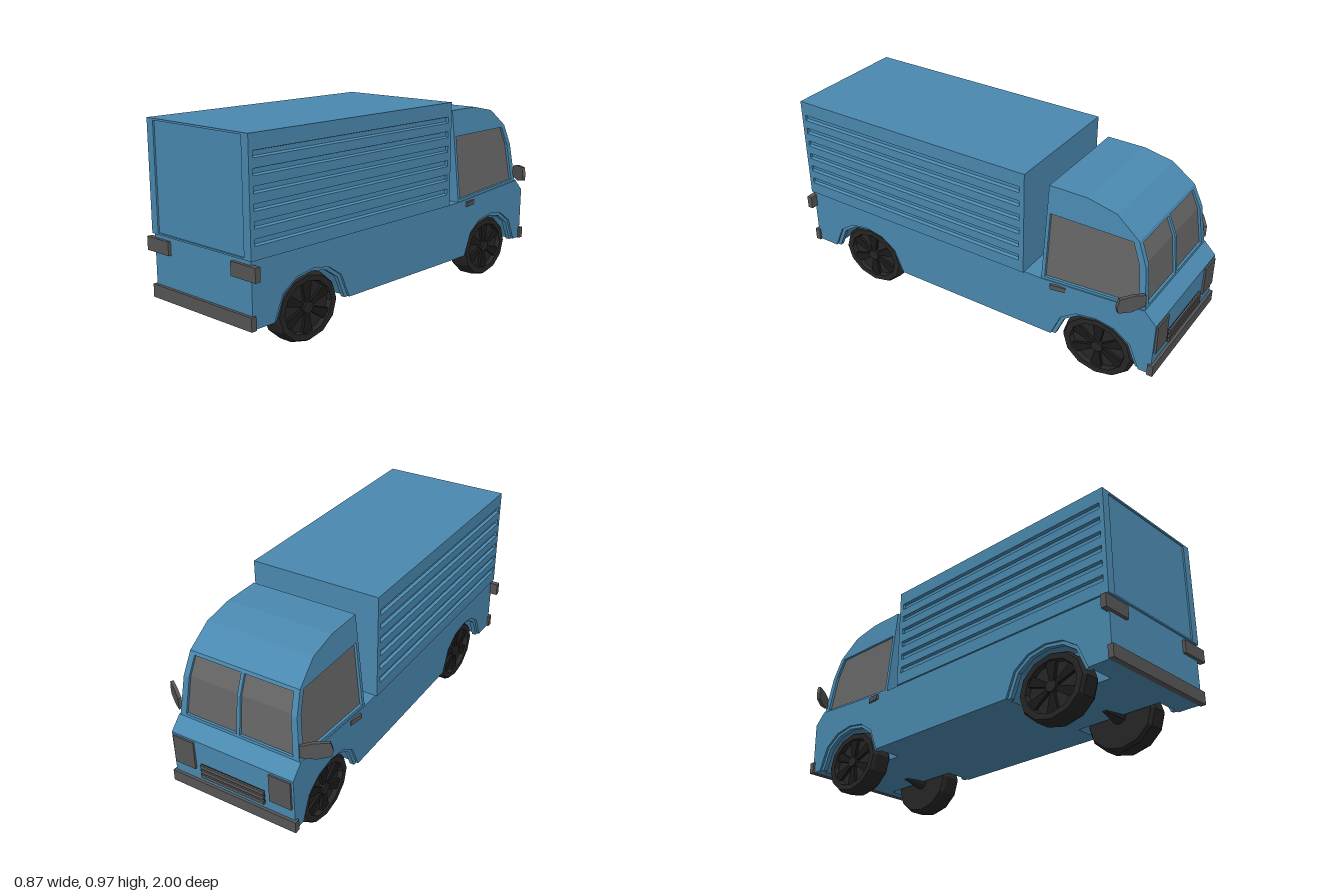
import * as THREE from 'three';

const mat = (color) => new THREE.MeshStandardMaterial({ color, flatShading: true });
const paint = mat(0x4a89b0), trim = mat(0x565656), glass = mat(0x666666);
const rubber = mat(0x262626), rimDark = mat(0x1a1a1a);

const toShape = (pts) => new THREE.Shape(pts.map(([a, b]) => new THREE.Vector2(a, b)));

// extrude a (z, y) outline across x0..x1
function acrossX(pts, x0, x1, hole) {
  const shape = toShape(pts);
  if (hole) shape.holes.push(toShape(hole));
  const g = new THREE.ExtrudeGeometry(shape, { depth: x1 - x0, bevelEnabled: false });
  return g.rotateY(-Math.PI / 2).translate(x1, 0, 0);
}

// extrude an (x, y) outline along z0..z1
function alongZ(pts, z0, z1, hole) {
  const shape = toShape(pts);
  if (hole) shape.holes.push(toShape(hole));
  return new THREE.ExtrudeGeometry(shape, { depth: z1 - z0, bevelEnabled: false }).translate(0, 0, z0);
}

// lean the cab walls inwards towards the roof
function taper(g) {
  const p = g.attributes.position;
  for (let i = 0; i < p.count; i++) {
    const t = THREE.MathUtils.clamp((p.getY(i) - 0.45) / 0.47, 0, 1);
    p.setX(i, p.getX(i) * (1 - 0.156 * t));
  }
  g.computeVertexNormals();
  return g;
}

const rect = (x, y0, y1) => [[-x, y0], [x, y0], [x, y1], [-x, y1]];

export function createModel() {
  const model = new THREE.Group();
  const add = (name, geo, material, parent = model) => {
    const m = new THREE.Mesh(geo, material);
    m.name = name;
    parent.add(m);
    return m;
  };
  const box = (name, material, x0, x1, y0, y1, z0, z1) => {
    const m = add(name, new THREE.BoxGeometry(x1 - x0, y1 - y0, z1 - z0), material);
    m.position.set((x0 + x1) / 2, (y0 + y1) / 2, (z0 + z1) / 2);
    return m;
  };
  const wheelZ = [0.636, -0.698];

  // lower body: solid core, with side sections notched for the wheels
  const top = [[-0.985, 0.16], [-0.99, 0.43], [-0.93, 0.49], [-0.41, 0.455], [0.985, 0.455], [0.985, 0.16]];
  const arch = (c, r, h) => [[r, 0], [0.78 * r, 0.62 * h], [0.43 * r, 0.91 * h], [0, h],
    [-0.43 * r, 0.91 * h], [-0.78 * r, 0.62 * h], [-r, 0]].map(([z, y]) => [c + z, 0.16 + y]);
  add('lowerBody', acrossX(top, -0.175, 0.175), paint);
  const sideOutline = [...top, ...wheelZ.flatMap((c) => arch(c, 0.228, 0.187))];
  for (const s of [-1, 1]) {
    const span = (a, b) => (s > 0 ? [a, b] : [-b, -a]);
    add('lowerSide', acrossX(sideOutline, ...span(0.175, 0.323)), paint);
    for (const c of wheelZ) {
      const lip = [...arch(c, 0.229, 0.188), ...arch(c, 0.208, 0.172).reverse()];
      add('wheelArchLip', acrossX(lip, ...span(0.29, 0.312)), paint);
    }

    // cab side with an inset window
    const cabSide = [[-0.41, 0.45], [-0.41, 0.8], [-0.86, 0.8], [-0.905, 0.69], [-0.93, 0.485]];
    const opening = [[-0.427, 0.468], [-0.427, 0.788], [-0.85, 0.79], [-0.89, 0.69], [-0.914, 0.5]];
    add('cabSide', taper(acrossX(cabSide, ...span(0.295, 0.32), opening)), paint);
    add('sideWindow', taper(acrossX(opening, ...span(0.3, 0.306))), glass);

    // windscreen pillar
    add('windscreenPillar', taper(acrossX(screenBand(0, 0.03, 0.49, 0.8), ...span(0.288, 0.32))), paint);

    // door handle
    const handle = box('doorHandle', trim, s * 0.328 - 0.006, s * 0.328 + 0.006, 0.426, 0.45, -0.54, -0.465);
    handle.rotation.y = s * 0.16;

    // wing mirror
    const plate = [[0, -0.03], [0.07, -0.042], [0.132, -0.03], [0.14, 0.0], [0.128, 0.04], [0.055, 0.04], [0, 0.028]];
    const outline = plate.map(([x, y]) => [s * x, y]);
    const mirror = add('wingMirror', alongZ(outline, -0.008, 0.008), trim);
    mirror.position.set(s * 0.315, 0.545, -0.925);
    mirror.rotation.y = -s * 0.608;

    // lamps
    box('rearLamp', trim, ...span(0.21, 0.363), 0.373, 0.437, 0.972, 1.0);
    box('headlamp', trim, ...span(0.2, 0.312), 0.275, 0.42, -0.998, -0.97);
  }

  // windscreen band following the raked, kinked front of the cab
  function screenBand(d0, d1, y0, y1) {
    const zAt = (y) => (y < 0.69 ? -0.93 + (y - 0.49) * 0.125 : -0.905 + (y - 0.69) * 0.409);
    const ys = y0 < 0.69 && y1 > 0.69 ? [y0, 0.69, y1] : [y0, y1];
    return [...ys.map((y) => [zAt(y) + d0, y]), ...ys.reverse().map((y) => [zAt(y) + d1, y])];
  }
  add('windscreen', taper(acrossX(screenBand(0.012, 0.018, 0.49, 0.8), -0.3, 0.3)), glass);
  add('windscreenDivider', taper(acrossX(screenBand(0, 0.016, 0.49, 0.8), -0.009, 0.009)), paint);
  add('windscreenSill', taper(acrossX(screenBand(0, 0.03, 0.485, 0.503), -0.3, 0.3)), paint);
  add('windscreenHeader', taper(acrossX(screenBand(0, 0.03, 0.785, 0.8), -0.3, 0.3)), paint);

  // cab roof and rear wall
  const roof = [[-0.41, 0.8], [-0.41, 0.92], [-0.6, 0.92], [-0.745, 0.89], [-0.86, 0.8]];
  add('cabRoof', taper(acrossX(roof, -0.32, 0.32)), paint);
  add('cabRearWall', taper(acrossX([[-0.41, 0.45], [-0.41, 0.8], [-0.425, 0.8], [-0.425, 0.45]], -0.3, 0.3)), paint);

  // cargo box: grooved sides between plain end frames
  const W = 0.332, groove = [];
  for (let i = 0; i < 6; i++) {
    const y = 0.515 + i * 0.072;
    groove.push([W, y], [W - 0.014, y + 0.006], [W - 0.014, y + 0.026], [W, y + 0.03]);
  }
  const half = [[W, 0.455], ...groove, [W, 0.975]];
  const section = [...half, ...half.map(([x, y]) => [-x, y]).reverse()];
  add('cargoBox', alongZ(section, -0.295, 0.97), paint);
  add('cargoFrontFrame', alongZ(rect(W, 0.455, 0.975), -0.32, -0.295), paint);
  add('cargoRearFrame', alongZ(rect(W, 0.455, 0.975), 0.97, 0.993, rect(0.289, 0.463, 0.966)), paint);
  add('rearDoor', alongZ(rect(0.289, 0.463, 0.966), 0.965, 0.985), paint);

  // bumpers and grille
  box('rearBumper', trim, -0.333, 0.333, 0.158, 0.22, 0.972, 1.0);
  box('frontBumper', trim, -0.333, 0.333, 0.158, 0.215, -1.0, -0.972);
  box('grilleBack', rimDark, -0.17, 0.17, 0.24, 0.312, -0.991, -0.975);
  for (const y of [0.25, 0.276, 0.302]) box('grilleBar', trim, -0.17, 0.17, y - 0.009, y + 0.009, -0.999, -0.98);

  // wheels: twelve-sided tyre with a sunken spoked rim and a tapered axle stub
  const tyre = [[0, -0.053], [0.172, -0.053], [0.185, -0.035], [0.185, 0.035], [0.174, 0.053],
    [0.143, 0.053], [0.136, 0.03], [0, 0.03]].map(([r, y]) => new THREE.Vector2(r, y));
  for (const z of wheelZ) for (const s of [-1, 1]) {
    const wheel = new THREE.Group();
    wheel.name = 'wheel';
    wheel.position.set(s * 0.24, 0.16, z);
    wheel.scale.set(1, 0.86, 1);
    wheel.rotation.y = s > 0 ? 0 : Math.PI;
    add('tyre', new THREE.LatheGeometry(tyre, 12).rotateZ(-Math.PI / 2), rubber, wheel);
    add('hub', new THREE.CylinderGeometry(0.03, 0.036, 0.024, 12).rotateZ(-Math.PI / 2).translate(0.04, 0, 0), rubber, wheel);
    for (let i = 0; i < 6; i++) {
      const spoke = acrossX([[-0.011, 0.025], [0.011, 0.025], [0.03, 0.138], [-0.03, 0.138]], 0.025, 0.045);
      add('spoke', spoke.rotateX((i * Math.PI) / 3), rimDark, wheel);
    }
    const stub = new THREE.CylinderGeometry(0.038, 0.01, 0.11, 10).rotateZ(-Math.PI / 2).translate(-0.108, 0, 0);
    add('axleStub', stub, rubber, wheel);
    model.add(wheel);
  }
  return model;
}
